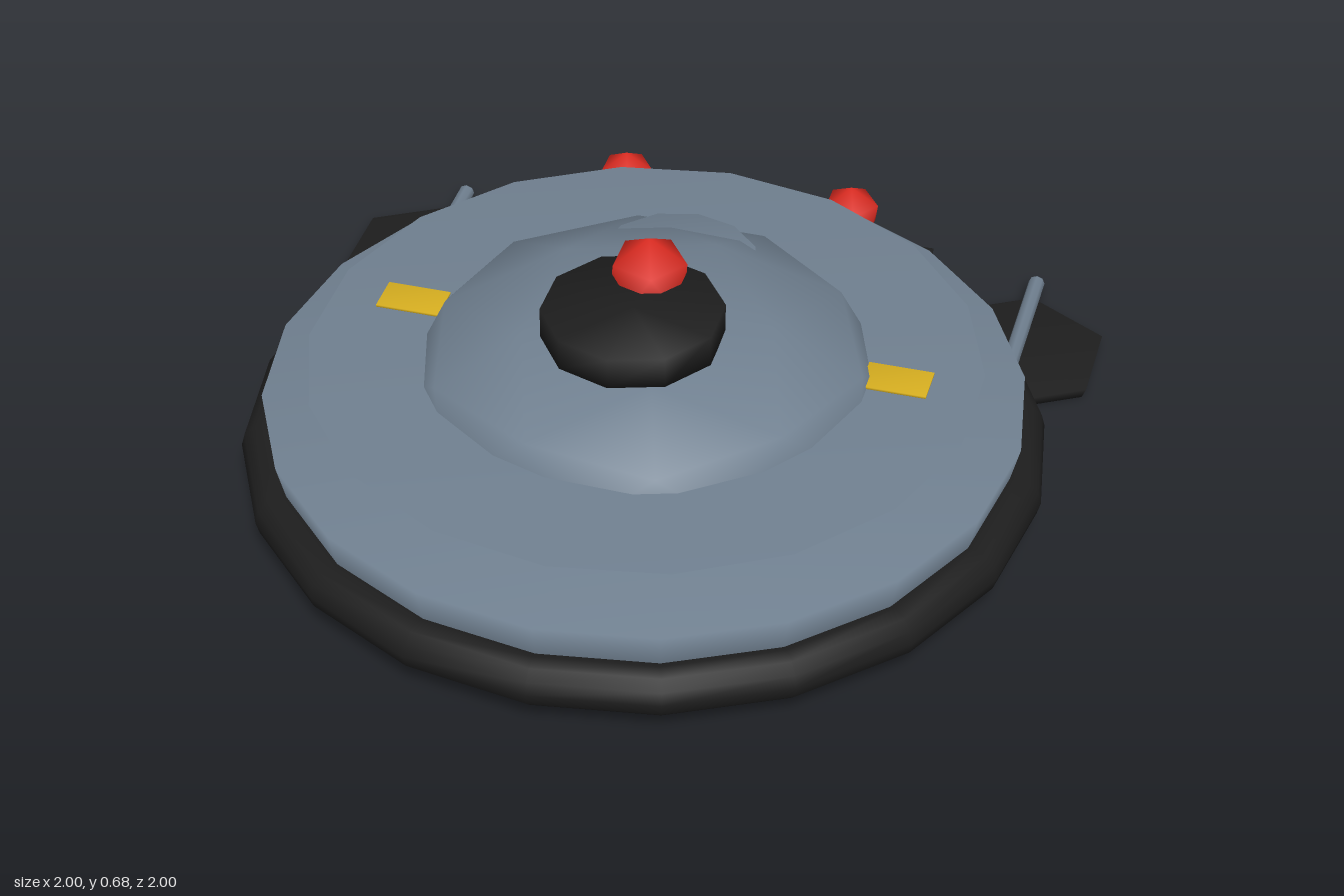
import * as THREE from 'three';
import { mergeVertices } from 'three/addons/utils/BufferGeometryUtils.js';

const material = (name, color) => {
  const m = new THREE.MeshStandardMaterial({ color });
  m.name = name;
  return m;
};

// Share corners so that shading runs softly over every edge
const smooth = (geometry) => {
  geometry.deleteAttribute('normal');
  geometry.deleteAttribute('uv');
  const merged = mergeVertices(geometry, 1e-4);
  merged.computeVertexNormals();
  return merged;
};

const lathe = (sides, profile) =>
  new THREE.LatheGeometry(profile.map(([r, y]) => new THREE.Vector2(r, y)), sides);

// Faceted ball with one corner pointing up, squashed to the given height
const ball = (radius, height, detail) => {
  const g = new THREE.IcosahedronGeometry(1, detail);
  g.rotateZ(-Math.atan(2 / (1 + Math.sqrt(5))));
  g.scale(radius, height, radius);
  return smooth(g);
};

const disc = (top, bottom, height, sides) =>
  smooth(new THREE.CylinderGeometry(top, bottom, height, sides));

const box = (x, y, z) => smooth(new THREE.BoxGeometry(x, y, z));

export function createModel() {
  const blue = material('slateBlue', 0x708090);
  const black = material('black', 0x1e1e1e);
  const red = material('red', 0xdf2c22);
  const yellow = material('yellow', 0xd6ae20);

  const model = new THREE.Group();
  model.name = 'hoverSaucer';
  const add = (name, geometry, mat, x, y, z) => {
    const mesh = new THREE.Mesh(geometry, mat);
    mesh.name = name;
    mesh.position.set(x, y, z);
    model.add(mesh);
  };

  const cz = 0.0125; // centre of the saucer

  // Flat-bottomed hull, deck plate and the squashed ball that runs through both
  add('hull', lathe(20, [[0, 0.054], [0.88, 0.054], [0.93, 0.265], [0, 0.265]]), blue, 0, 0, cz);
  add('deck', lathe(18, [[0, 0.3], [0.745, 0.3], [0.822, 0.36], [0, 0.36]]), blue, 0, 0, cz);
  add('dome', ball(0.6, 0.25, 1), blue, 0, 0.28, 0);

  // Rubber skirt
  const skirt = new THREE.TorusGeometry(0.925, 0.063, 12, 20);
  skirt.rotateX(Math.PI / 2);
  add('skirt', skirt, black, 0, 0.115, cz);

  // Top turret, beacon and rear hatch
  add('turret', disc(0.22, 0.22, 0.08, 10), black, 0, 0.535, 0.115);
  add('beacon', ball(0.105, 0.105, 0), red, 0, 0.57, -0.03);
  add('rearHatch', disc(0.2, 0.2, 0.045, 12), blue, 0, 0.4225, -0.285);

  // Rear bumper
  add('bumper', box(1.04, 0.11, 0.16), black, 0, 0.07, -0.87);

  // Mirrored lamps, deck plates and rear skids
  const rod = new THREE.CylinderGeometry(0.021, 0.021, 0.61, 8);
  rod.rotateX(Math.PI / 2);
  for (const [side, s] of [['left', 1], ['right', -1]]) {
    add(side + 'RearLamp', ball(0.081, 0.081, 0), red, s * 0.305, 0.235, -0.893);
    add(side + 'DeckPlate', box(0.16, 0.009, 0.1), yellow, s * 0.611, 0.3615, -0.05);
    add(side + 'SkidPad', disc(0.237, 0.225, 0.03, 6), black, s * 0.795, 0.015, -0.695);
    add(side + 'SkidRod', rod, blue, s * 0.793, 0.033, -0.695);
  }
  return model;
}
